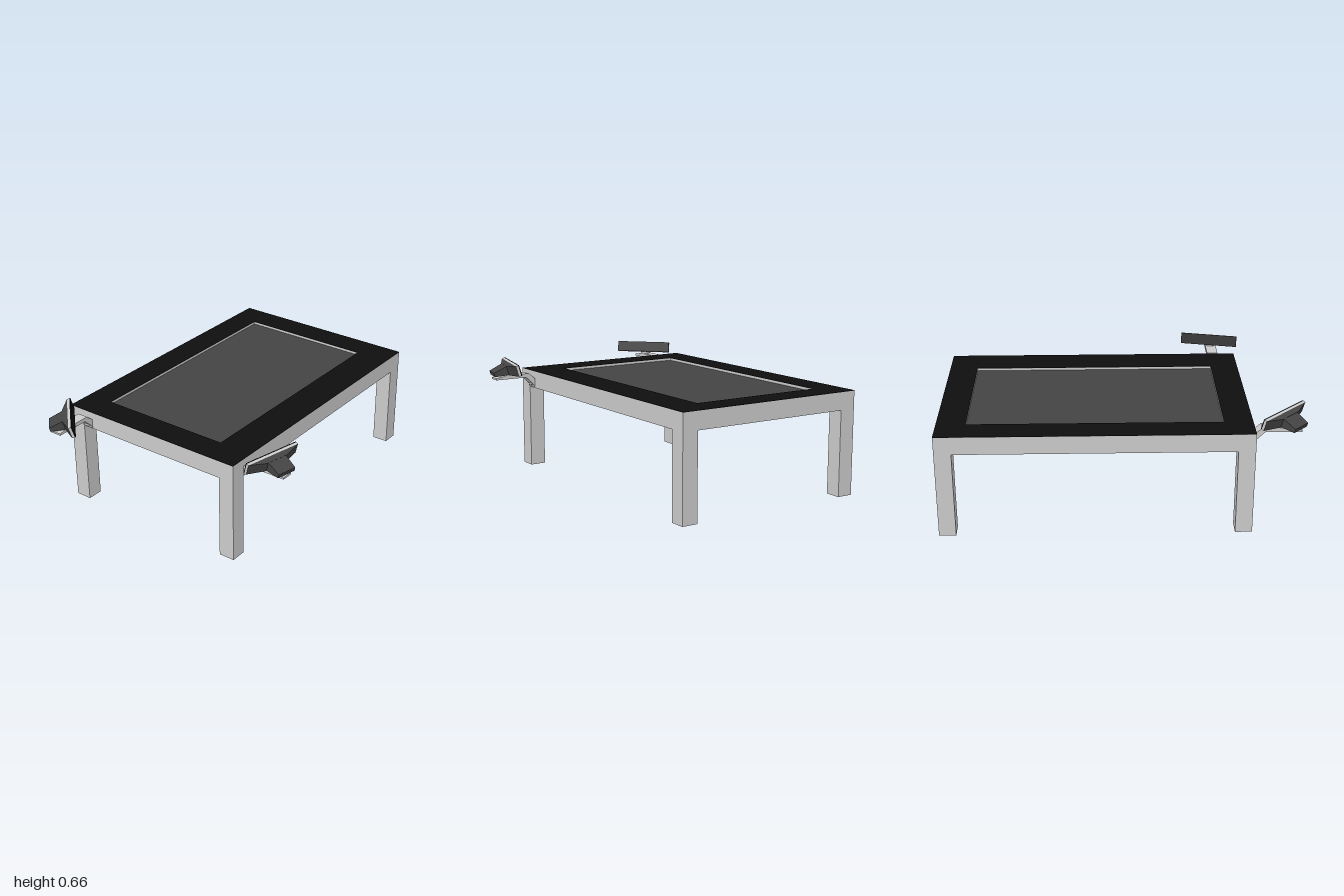
import * as THREE from 'three';

const mat = (color) => new THREE.MeshStandardMaterial({ color });
const grey = mat(0xcccccc);
const dark = mat(0x444444);
const black = mat(0x0e0e0e);

// Table plan: outer edges and screen opening
const X0 = -0.703, X1 = 1, Z0 = -0.708, Z1 = 0.436;
const SX0 = -0.545, SX1 = 0.84, SZ0 = -0.55, SZ1 = 0.235;
const TOP = 0.59, UNDER = 0.487, LEG = 0.093, RECESS = 0.016;

function add(parent, name, geometry, material, x = 0, y = 0, z = 0) {
  const mesh = new THREE.Mesh(geometry, material);
  mesh.name = name;
  mesh.position.set(x, y, z);
  parent.add(mesh);
  return mesh;
}

// Box between two corners
function block(parent, name, material, a, b) {
  const size = a.map((v, i) => b[i] - v);
  return add(parent, name, new THREE.BoxGeometry(...size), material, ...a.map((v, i) => (v + b[i]) / 2));
}

// Box along z whose rear end (-z) has its own width and height
function taperedBox(w, h, d, rearW, rearH) {
  const g = new THREE.BoxGeometry(w, h, d);
  const p = g.attributes.position;
  for (let i = 0; i < p.count; i++) {
    if (p.getZ(i) < 0) p.setXY(i, p.getX(i) * rearW / w, p.getY(i) * rearH / h);
  }
  const flat = g.toNonIndexed();
  flat.computeVertexNormals();
  return flat;
}

// Flat rectangular frame with the screen opening, lying at height y
function frame(parent, name, material, y, thickness) {
  const shape = new THREE.Shape([[X0, Z0], [X1, Z0], [X1, Z1], [X0, Z1]].map(([x, z]) => new THREE.Vector2(x, -z)));
  shape.holes.push(new THREE.Path([[SX0, SZ0], [SX0, SZ1], [SX1, SZ1], [SX1, SZ0]].map(([x, z]) => new THREE.Vector2(x, -z))));
  const g = new THREE.ExtrudeGeometry(shape, { depth: thickness, bevelEnabled: false });
  g.rotateX(-Math.PI / 2);
  add(parent, name, g, material, 0, y, 0);
}

// Bent support strip reaching out along local +x
function supportArm(x, z, yaw) {
  const arm = new THREE.Group();
  arm.name = 'supportArm';
  const profile = [[0, 0.495], [0.008, 0.495], [0.008, 0.508], [0.058, 0.556], [0.255, 0.556],
    [0.255, 0.567], [0.18, 0.579], [0.04, 0.579], [0, 0.545]];
  const g = new THREE.ExtrudeGeometry(new THREE.Shape(profile.map(([a, b]) => new THREE.Vector2(a, b))),
    { depth: 0.064, bevelEnabled: false });
  g.translate(0, 0, -0.032);
  add(arm, 'armStrip', g, grey);
  // Round bolt boss on the fixing end
  const boss = add(arm, 'bolt', new THREE.CylinderGeometry(0.024, 0.024, 0.016, 24), grey, 0.008, 0.525, 0);
  boss.rotation.z = Math.PI / 2;
  // Swivel disc under the sensor
  add(arm, 'swivelDisc', new THREE.CylinderGeometry(0.03, 0.03, 0.024, 24), grey, 0.18, 0.58, 0);
  arm.position.set(x, 0, z);
  arm.rotation.y = yaw;
  return arm;
}

// Bar-shaped sensor: front face at local z = 0, tilted slightly upward
function sensor(x, z, yaw) {
  const s = new THREE.Group();
  s.name = 'sensorBar';
  const W = 0.342, H = 0.064;
  add(s, 'frontFace', new THREE.BoxGeometry(W, H, 0.006), black, 0, 0, -0.003);
  add(s, 'rim', new THREE.BoxGeometry(W, H, 0.014), grey, 0, 0, -0.013);
  add(s, 'rearShell', taperedBox(W, H, 0.032, 0.14, 0.056), dark, 0, 0, -0.036);
  add(s, 'rearHousing', taperedBox(0.122, 0.055, 0.085, 0.113, 0.024), dark, 0, 0, -0.0925);
  s.position.set(x, 0.628, z);
  s.rotation.order = 'YXZ';
  s.rotation.set(-0.29, yaw, 0);
  return s;
}

export function createModel() {
  const model = new THREE.Group();
  model.name = 'screenTable';

  // Body with recessed screen
  block(model, 'tableBody', grey, [X0, UNDER, Z0], [X1, TOP - RECESS - 0.002, Z1]);
  frame(model, 'recessRim', grey, TOP - RECESS - 0.002, RECESS);
  frame(model, 'topBezel', black, TOP - 0.002, 0.002);
  block(model, 'screen', dark, [SX0, TOP - RECESS - 0.002, SZ0], [SX1, TOP - RECESS, SZ1]);

  // Legs at the four corners
  for (const x of [X0, X1 - LEG]) {
    for (const z of [Z0, Z1 - LEG]) block(model, 'leg', grey, [x, 0, z], [x + LEG, UNDER, z + LEG]);
  }

  // Sensors on arms at two corners
  model.add(supportArm(X0, -0.582, Math.PI), sensor(-0.855, -0.545, Math.PI / 4));
  model.add(supportArm(-0.578, Z1, -Math.PI / 2), sensor(-0.562, 0.57, Math.PI * 167 / 180));
  return model;
}
